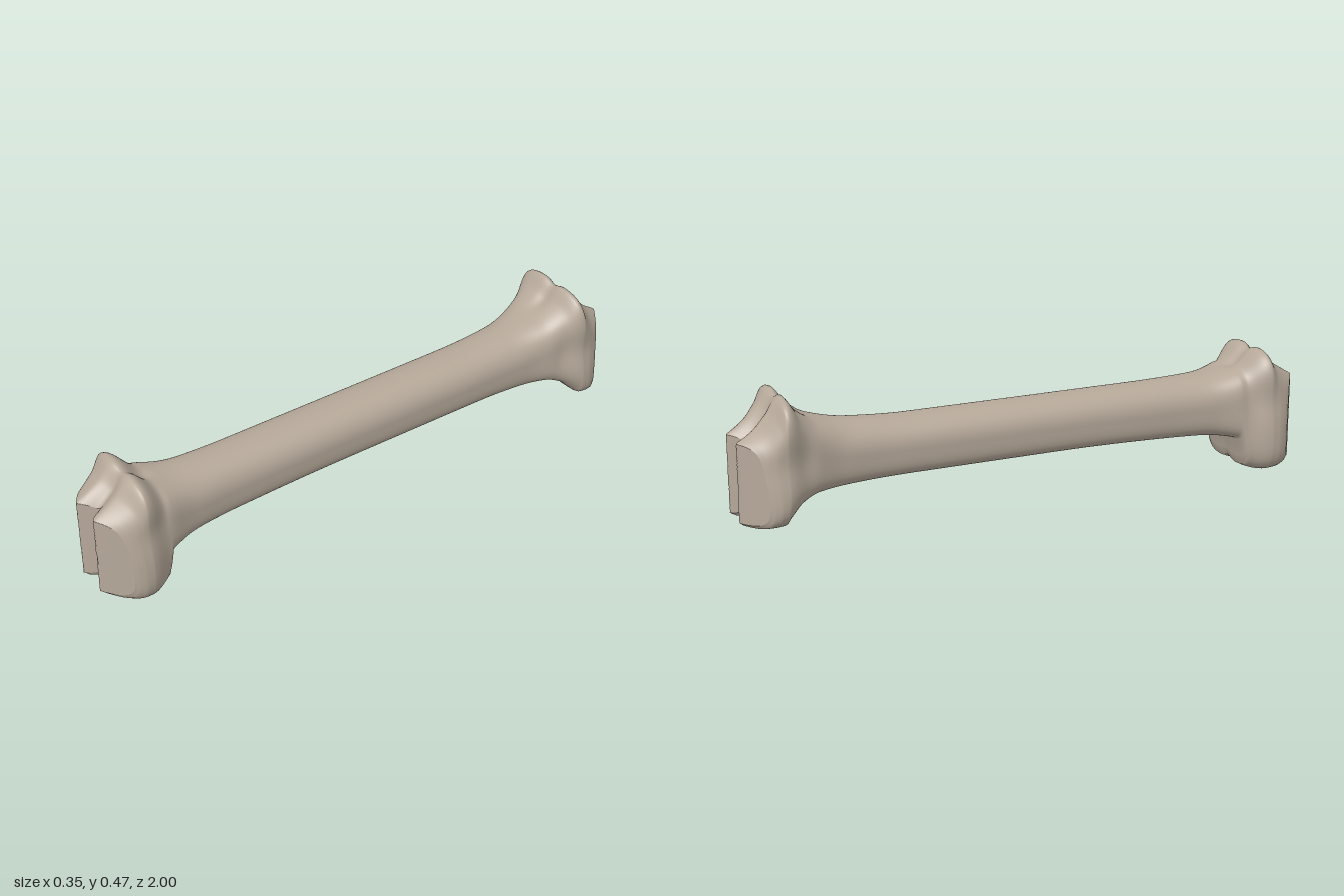
import * as THREE from 'three';

const SEG = 120, RINGS = 200, CAP = 14, XC = 0.01, RIDGE = 0.86;

// Silhouettes along the bone, back to front, as [z, value]
const topLine = [
  [-1, 0.33], [-0.95, 0.362], [-0.9, 0.412], [-0.85, 0.468], [-0.81, 0.42], [-0.74, 0.375],
  [-0.6, 0.35], [-0.4, 0.339], [0.4, 0.338], [0.67, 0.344], [0.78, 0.362], [0.86, 0.425],
  [0.92, 0.368], [1, 0.318],
];
const bottomLine = [
  [-1, 0.07], [-0.98, 0.059], [-0.89, 0.06], [-0.81, 0.12], [-0.74, 0.143], [-0.4, 0.154],
  [0.1, 0.154], [0.6, 0.14], [0.768, 0.118], [0.788, 0.02], [0.86, 0], [0.92, 0.004],
  [0.98, 0.018], [1, 0.034],
];
const widthLine = [
  [0, 0.102], [0.5, 0.103], [0.66, 0.112], [0.78, 0.142], [0.87, 0.182], [0.93, 0.181],
  [0.98, 0.173], [1, 0.163],
];

// Smooth curve through a silhouette, without overshoot
function follow(line, z) {
  const slope = (i) => (line[i + 1][1] - line[i][1]) / (line[i + 1][0] - line[i][0]);
  const tangent = (i) => {
    if (i === 0) return slope(0);
    if (i === line.length - 1) return slope(i - 1);
    const a = slope(i - 1), b = slope(i);
    return a * b > 0 ? (2 * a * b) / (a + b) : 0;
  };
  let i = 0;
  while (i < line.length - 2 && z > line[i + 1][0]) i++;
  const [z0, v0] = line[i], [z1, v1] = line[i + 1];
  const h = z1 - z0, t = (z - z0) / h, q = 1 - t;
  return q * q * (1 + 2 * t) * v0 + t * t * (3 - 2 * t) * v1
    + h * t * q * (q * tangent(i) - t * tangent(i + 1));
}

// Plan outline of an end: two knuckles with a V groove between them
function endReach(x) {
  const d = Math.abs(x - XC);
  const groove = 0.945 + 1.1 * d;
  const shoulder = 1.037 - 0.69 * d;
  return (groove + shoulder - Math.hypot(groove - shoulder, 0.006)) / 2;
}

// Cross-section at z: round on top and flatter below, turning boxy in the heads
function sectionAt(z) {
  const head = THREE.MathUtils.smoothstep(Math.abs(z), 0.62, 0.88);
  return {
    z,
    top: follow(topLine, z),
    bottom: follow(bottomLine, z),
    width: follow(widthLine, Math.abs(z)),
    taper: 0.09 * head,
    nTop: 2.2 + 2 * head,
    nBottom: 3.8 + head,
    knuckle: THREE.MathUtils.smoothstep(Math.abs(z), 0.74, 0.82),
  };
}

// One point of a cross-section, shrunk by k toward its middle for the end faces
function sectionPoint({ z, top, bottom, width, taper, nTop, nBottom, knuckle }, angle, k) {
  const c = Math.cos(angle), s = Math.sin(angle);
  const n = s > 0 ? nTop : nBottom;
  const r = 1 / Math.pow(Math.abs(c) ** n + Math.abs(s) ** n, 1 / n);
  const mid = (top + bottom) / 2, half = (top - bottom) / 2;
  let y = mid + r * s * half;
  const waist = 1 - 0.07 * knuckle * Math.exp(-(((y - 0.27) / 0.07) ** 2));
  let x = r * c * width * (1 - taper * (1 + r * s) / 2) * waist;
  // dip between the knuckles, above and below
  const dip = knuckle * Math.exp(-((x / 0.026) ** 2)) * Math.abs(r * s);
  y += s > 0 ? -0.013 * dip : 0.018 * dip;
  x = XC + x * k;
  y = mid + (y - mid) * k;
  // bend the heads to the knuckled end outline
  const a = Math.abs(z);
  const reach = a > RIDGE ? RIDGE + (a - RIDGE) / (1 - RIDGE) * (endReach(x) - RIDGE) : a;
  return [x, y, Math.sign(z) * reach];
}

function boneGeometry() {
  // rings open from the back centre, run along the bone, and close at the front centre
  const rings = [];
  for (let i = 0; i < CAP; i++) rings.push([sectionAt(-1), Math.max(i / CAP, 0.001)]);
  for (let i = 0; i <= RINGS; i++) rings.push([sectionAt(Math.sin((i / RINGS - 0.5) * Math.PI)), 1]);
  for (let i = CAP - 1; i >= 0; i--) rings.push([sectionAt(1), Math.max(i / CAP, 0.001)]);

  const positions = [], index = [];
  rings.forEach(([section, k], i) => {
    for (let j = 0; j < SEG; j++) {
      positions.push(...sectionPoint(section, (j / SEG) * Math.PI * 2, k));
      if (i === rings.length - 1) continue;
      const a = i * SEG + j, b = i * SEG + (j + 1) % SEG;
      index.push(a, b, b + SEG, a, b + SEG, a + SEG);
    }
  });
  const geometry = new THREE.BufferGeometry();
  geometry.setAttribute('position', new THREE.Float32BufferAttribute(positions, 3));
  geometry.setIndex(index);
  geometry.computeVertexNormals();
  return geometry;
}

export function createModel() {
  const group = new THREE.Group();
  group.name = 'bone';
  const boneMaterial = new THREE.MeshStandardMaterial({ color: 0xb5a899 });
  boneMaterial.name = 'bone beige';

  // Shaft and both knuckled heads in one smooth surface
  const bone = new THREE.Mesh(boneGeometry(), boneMaterial);
  bone.name = 'shaftAndHeads';
  group.add(bone);
  return group;
}
